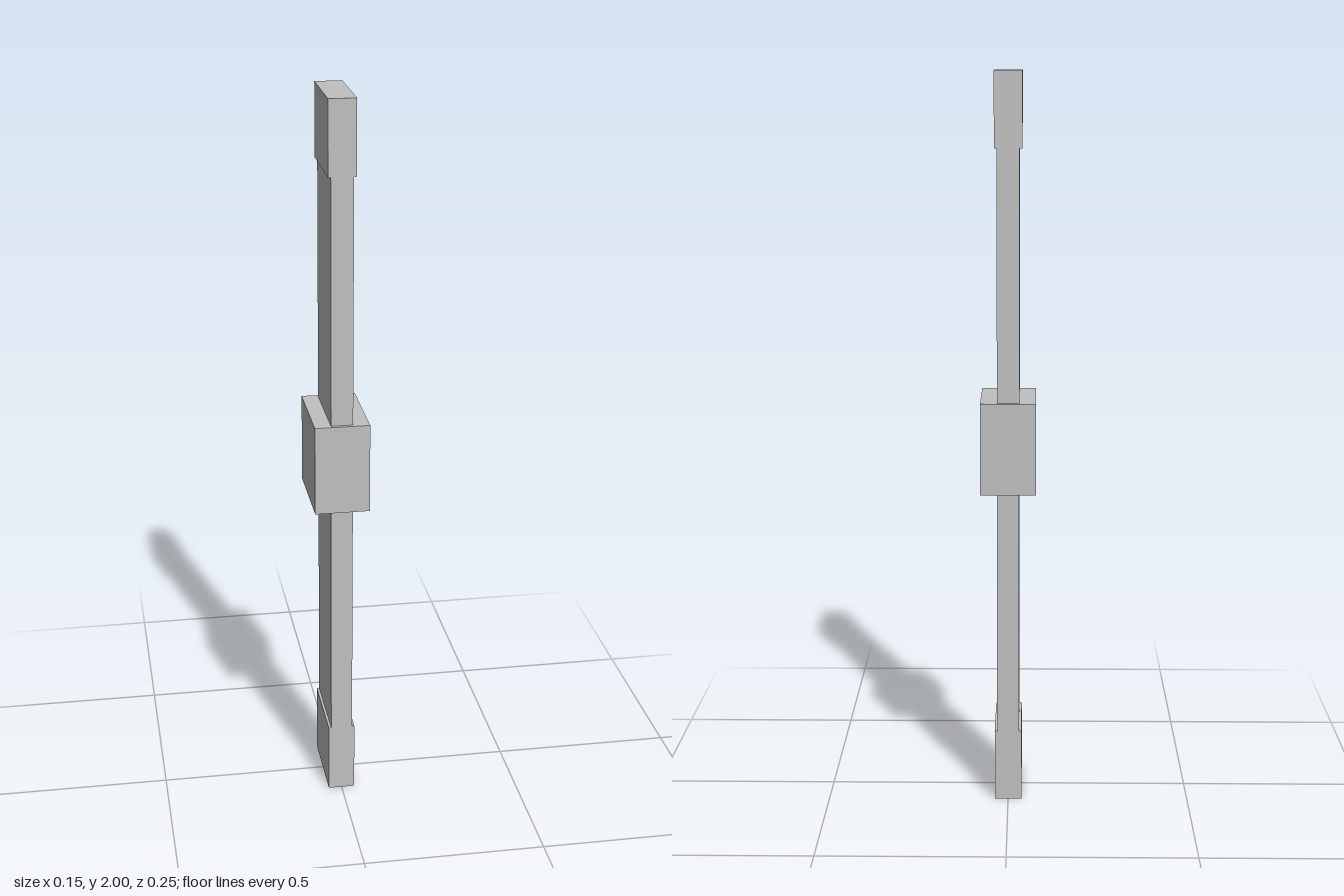
import * as THREE from 'three';

export function createModel() {
  const group = new THREE.Group();
  const grey = new THREE.MeshStandardMaterial({ color: 0xc0c0c0, side: THREE.DoubleSide });
  grey.name = 'plainGrey';

  // Box shell between two heights, left open underneath
  function shell(name, width, depth, bottom, top) {
    const geometry = new THREE.BoxGeometry(width, top - bottom, depth);
    const index = Array.from(geometry.index.array);
    index.splice(18, 6); // drop the underside
    geometry.setIndex(index);
    geometry.clearGroups();
    const mesh = new THREE.Mesh(geometry, grey);
    mesh.name = name;
    mesh.position.y = (bottom + top) / 2;
    group.add(mesh);
  }

  // End caps, slightly wider than the bars
  shell('lowerCap', 0.074, 0.23, 0, 0.2);
  shell('upperCap', 0.074, 0.23, 1.8, 2);

  // Flat bars between the caps and the central block
  shell('lowerBar', 0.06, 0.23, 0.2, 0.875);
  shell('upperBar', 0.06, 0.23, 1.125, 1.8);

  // Central block
  shell('centralBlock', 0.15, 0.25, 0.875, 1.125);

  return group;
}
